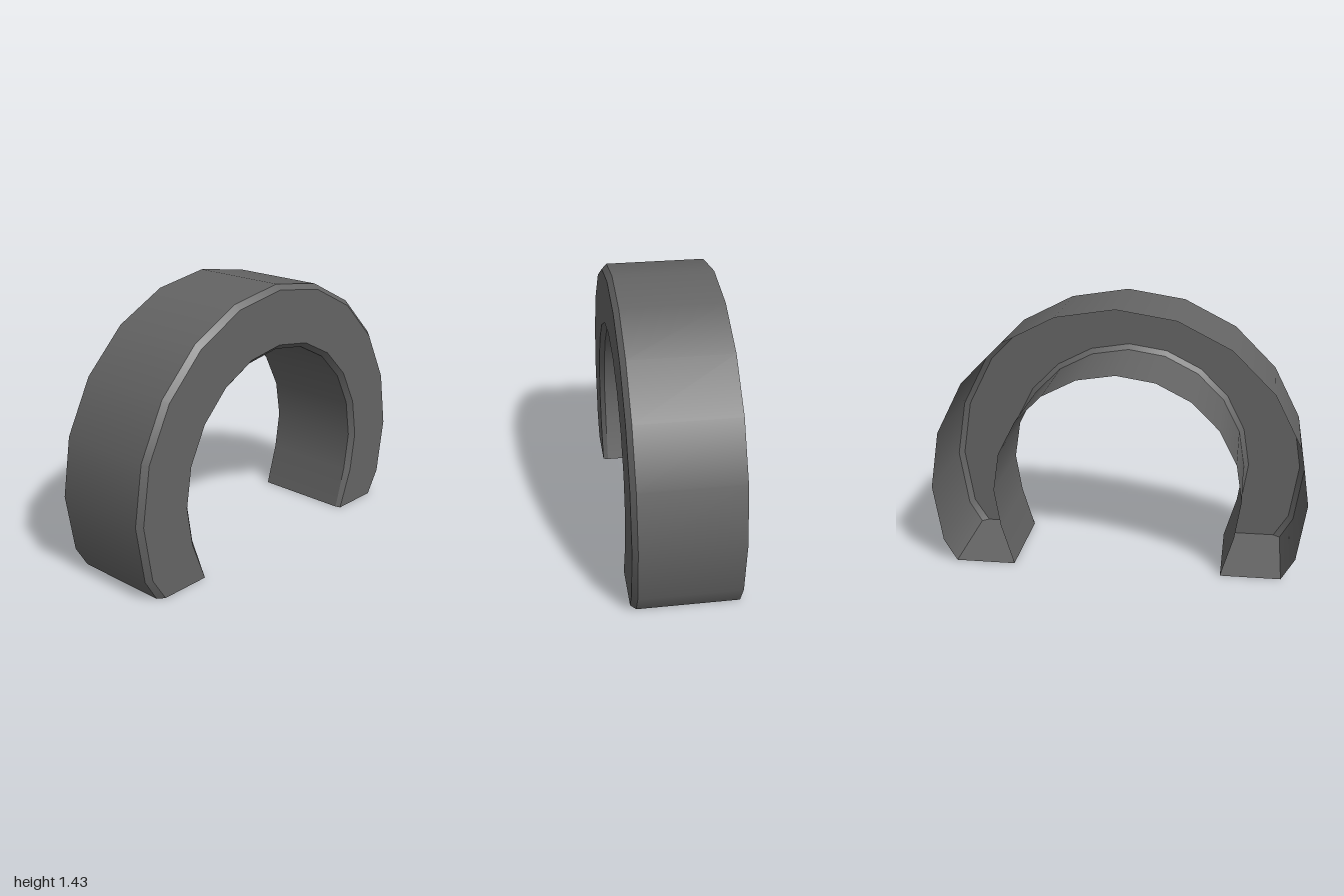
import * as THREE from 'three';

const CENTER_Y = 0.427;
const STEP = Math.PI / 10; // 20-sided circle

// One polygonal arc at depth z, running from the right foot over the top to the left foot
function ring(radius, footX, z) {
  const points = [new THREE.Vector3(footX, 0, z)];
  for (let i = -1; i <= 11; i++) {
    const a = i * STEP;
    points.push(new THREE.Vector3(radius * Math.cos(a), CENTER_Y + radius * Math.sin(a), z));
  }
  points.push(new THREE.Vector3(-footX, 0, z));
  return points;
}

// Smooth surface between two rows of points
function strip(name, a, b, material) {
  const index = [];
  const n = a.length;
  for (let i = 0; i < n - 1; i++) {
    index.push(i, i + 1, n + i, n + i, i + 1, n + i + 1);
  }
  const geometry = new THREE.BufferGeometry().setFromPoints([...a, ...b]);
  geometry.setIndex(index);
  geometry.computeVertexNormals();

  // Share one normal across each pair so the shading runs straight across the strip
  const normals = geometry.attributes.normal;
  const normal = new THREE.Vector3();
  const other = new THREE.Vector3();
  for (let i = 0; i < n; i++) {
    normal.fromBufferAttribute(normals, i);
    normal.add(other.fromBufferAttribute(normals, n + i)).normalize();
    normals.setXYZ(i, normal.x, normal.y, normal.z);
    normals.setXYZ(n + i, normal.x, normal.y, normal.z);
  }

  const mesh = new THREE.Mesh(geometry, material);
  mesh.name = name;
  return mesh;
}

export function createModel() {
  const group = new THREE.Group();
  group.name = 'archShell';
  const material = new THREE.MeshStandardMaterial({ color: 0x646464, side: THREE.DoubleSide });

  // Cross-section rings, from the open back around the front to the back again
  const back = -0.277, mid = 0.25, front = 0.277;
  const rings = [
    ring(1, 0.88, back),
    ring(1, 0.88, mid),
    ring(0.973, 0.845, front),
    ring(0.686, 0.568, front),
    ring(0.66, 0.56, mid),
    ring(0.66, 0.56, back),
  ];
  const names = ['outerWall', 'outerBevel', 'frontFace', 'innerBevel', 'innerWall'];
  names.forEach((name, i) => group.add(strip(name, rings[i], rings[i + 1], material)));

  // Flat feet closing the two ends
  const last = rings[0].length - 1;
  const edge = (ids, k) => ids.map((i) => rings[i][k]);
  group.add(strip('leftFoot', edge([0, 1, 2], 0), edge([5, 4, 3], 0), material));
  group.add(strip('rightFoot', edge([5, 4, 3], last), edge([0, 1, 2], last), material));

  return group;
}
